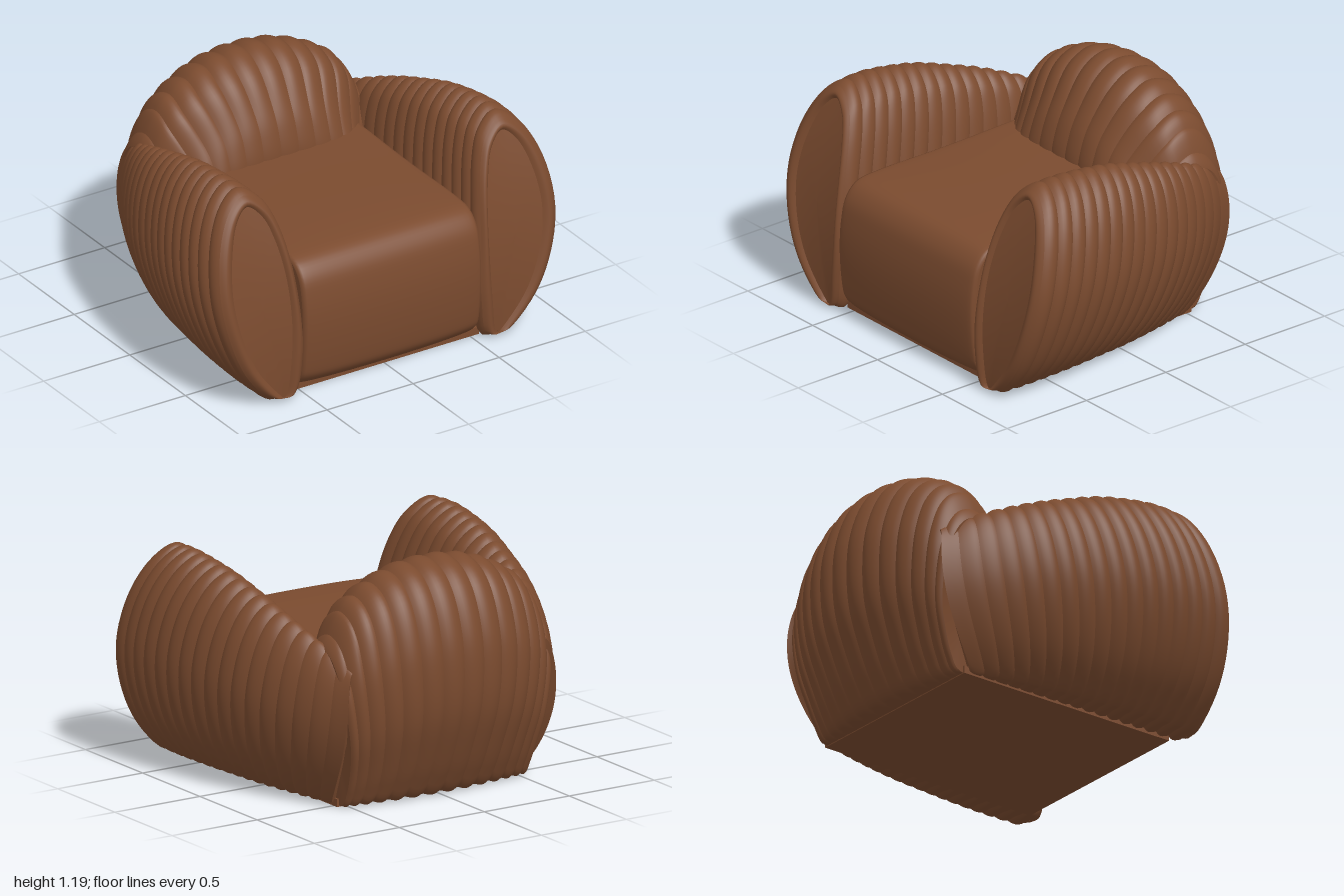
import * as THREE from 'three';

const SIDES = 72;
const lerp = THREE.MathUtils.lerp;
const smooth = THREE.MathUtils.smoothstep;

// Lookup in an evenly spaced table, eased by a spline
function table(values) {
  const c = new THREE.SplineCurve(values.map((v, i) => new THREE.Vector2(i, v)));
  return (u) => c.getPoint(u).y;
}

// Closed smooth outline sampled into SIDES points
function outline(points) {
  const c = new THREE.CatmullRomCurve3(
    points.map(([a, b]) => new THREE.Vector3(a, b, 0)), true, 'centripetal');
  return Array.from({ length: SIDES }, (_, i) => {
    const p = c.getPoint(i / SIDES);
    return [p.x, p.y];
  });
}

// Lofts rings of fn(i, u, s); each rib has its own vertices so the grooves stay crisp
function loft(fn, ribs, steps, { capStart = false, capEnd = false, flip = false } = {}) {
  const pos = [], index = [];
  const face = (a, b, c) => (flip ? index.push(a, c, b) : index.push(a, b, c));
  const ring = (u, s) => {
    const first = pos.length / 3;
    for (let i = 0; i < SIDES; i++) {
      const [x, y, z] = fn(i, u, s);
      pos.push(flip ? -x : x, y, z);
    }
    return first;
  };
  for (let r = 0; r < ribs; r++) {
    let prev = ring(r / ribs, 0);
    for (let j = 1; j <= steps; j++) {
      const next = ring((r + j / steps) / ribs, j / steps);
      for (let i = 0; i < SIDES; i++) {
        const k = (i + 1) % SIDES;
        face(prev + i, next + i, prev + k);
        face(prev + k, next + i, next + k);
      }
      prev = next;
    }
  }
  const cap = (u, s, end) => {
    const first = ring(u, s), mid = [0, 0, 0];
    for (let i = 0; i < SIDES; i++)
      for (let k = 0; k < 3; k++) mid[k] += pos[(first + i) * 3 + k] / SIDES;
    const m = pos.length / 3;
    pos.push(...mid);
    for (let i = 0; i < SIDES; i++) {
      const k = first + ((i + 1) % SIDES);
      if (end) face(m, k, first + i); else face(m, first + i, k);
    }
  };
  if (capStart) cap(0, 0, false);
  if (capEnd) cap(1, 1, true);
  const g = new THREE.BufferGeometry();
  g.setAttribute('position', new THREE.Float32BufferAttribute(pos, 3));
  g.setIndex(index);
  g.computeVertexNormals();
  return g;
}

// Depth of the groove at position s across a rib
const groove = (s) => 0.02 * (1 - Math.pow(Math.max(0, Math.sin(Math.PI * s)), 0.75));

// Pulls a point towards a centre by a distance
function inset(a, b, ca, cb, d) {
  const l = Math.hypot(a - ca, b - cb) || 1;
  return [a - ((a - ca) / l) * d, b - ((b - cb) / l) * d];
}

// Arm: leaf-shaped section swept from front to back
const armOutline = outline([[0.55, 0.01], [0.63, 0.01], [0.70, 0.015], [0.85, 0.17], [0.955, 0.4],
  [0.992, 0.64], [0.945, 0.9], [0.85, 1.06], [0.745, 1.117], [0.64, 1.05], [0.58, 0.93],
  [0.53, 0.7], [0.505, 0.4], [0.51, 0.2]]);
// Panel on the arm front, point for point with the arm outline
const panelOutline = outline([[0.61, 0.02], [0.625, 0.016], [0.64, 0.03], [0.775, 0.2], [0.86, 0.4],
  [0.897, 0.62], [0.87, 0.83], [0.81, 0.98], [0.74, 1.035], [0.665, 0.97], [0.62, 0.85],
  [0.585, 0.65], [0.575, 0.42], [0.585, 0.2]]);
const armHeight = table([1.11, 1.117, 1.1, 1.07, 1.02, 0.965, 0.9, 0.825, 0.73]);
const armOuter = table([0.985, 1.0, 0.99, 0.965, 0.925, 0.88, 0.81, 0.72, 0.62]);

function armZ(y, u) {
  const t = y / armHeight(u);
  return lerp(0.8, -0.48, u) + lerp(0.12 * t - 0.3 * t * t, -0.64 * t + 0.43 * t * t, u);
}

function armPoint(i, u, s) {
  const [x0, y0] = inset(...armOutline[i], 0.735, 0.55, groove(s));
  const x = 0.52 + ((x0 - 0.52) * (armOuter(u) - 0.52)) / 0.47;
  const y = Math.max(0.01, (y0 * armHeight(u)) / 1.117);
  return [x, y, armZ(y, u)];
}

// Rolled rim between panel and first groove
function rimPoint(i, u) {
  const [px, py] = panelOutline[i], b = armPoint(i, 0, 0);
  return [lerp(px, b[0], u), lerp(py, b[1], u),
    lerp(armZ(py, 0), b[2], u) + 0.02 * Math.sin(Math.PI * u)];
}

function panelPoint(i, u) {
  const [px, py] = panelOutline[i];
  const y = lerp(0.52, py, u);
  return [lerp(0.735, px, u), y, armZ(y, 0) - 0.008 * (1 - u * u)];
}

// Backrest: side section swept across, fanning out at the top
const backOutline = outline([[-0.62, 0.005], [-0.4, 0.005], [-0.22, 0.4], [-0.17, 0.7], [-0.2, 0.85],
  [-0.255, 0.97], [-0.35, 1.11], [-0.45, 1.18], [-0.53, 1.195], [-0.65, 1.155], [-0.75, 1.05],
  [-0.83, 0.85], [-0.85, 0.65], [-0.83, 0.45], [-0.76, 0.25], [-0.69, 0.1]]);
const backHeight = table([1, 0.995, 0.98, 0.95, 0.905, 0.835, 0.69]);

function backPoint(i, u, s) {
  const v = Math.sin((2 * u - 1) * 1.3) / Math.sin(1.3), a = Math.abs(v);
  const [zc, yc] = backOutline[i];
  // grooves fade out towards the foot of the front
  const fade = 1 - 0.6 * smooth(zc, -0.35, -0.2);
  const [z0, y0] = inset(zc, yc, -0.5, 0.65, groove(s) * fade);
  const y = Math.max(0.005, y0 * backHeight(a));
  const pull = lerp(0.02, 0.3, smooth(yc, 0.7, 1.05));
  const z = -0.48 + (z0 + 0.48) * (z0 < -0.48 ? 1 - 0.4 * a * a : 1 - pull * a ** 4);
  const fan = 0.86 + 0.14 * smooth(y, 0, 0.8) - 0.15 * smooth(z, -0.42, -0.2);
  return [0.625 * v * fan, y, z];
}

// Seat: one soft block with crowned top and front, undercut at the foot
const seatOutline = outline([[-0.5, 0.02], [0.1, 0.02], [0.7, 0.02], [0.745, 0.02], [0.805, 0.075],
  [0.825, 0.14], [0.845, 0.35], [0.835, 0.52], [0.805, 0.635], [0.74, 0.705], [0.6, 0.728],
  [0, 0.73], [-0.4, 0.725], [-0.5, 0.7], [-0.52, 0.4]]);

function seatPoint(i, u) {
  const v = 2 * u - 1;
  const [z, y] = inset(...seatOutline[i], 0.3, 0.39, 0.025 * v * v + 0.015 * v ** 20);
  return [0.515 * Math.sin((v * Math.PI) / 2), Math.max(0.02, y), z];
}

export function createModel() {
  const leather = new THREE.MeshStandardMaterial({ color: 0x7b4b2f });
  leather.name = 'brown leather';
  const chair = new THREE.Group();
  chair.name = 'armchair';
  const add = (parent, name, geometry) => {
    const m = new THREE.Mesh(geometry, leather);
    m.name = name;
    parent.add(m);
    return m;
  };

  // Arms with ribbed shell, rolled front rim and recessed panel
  for (const [name, flip] of [['leftArm', false], ['rightArm', true]]) {
    const arm = new THREE.Group();
    arm.name = name;
    add(arm, 'armRibs', loft(armPoint, 17, 8, { capEnd: true, flip }));
    add(arm, 'armFrontRim', loft(rimPoint, 1, 8, { flip }));
    add(arm, 'armFrontPanel', loft(panelPoint, 1, 8, { flip }));
    chair.add(arm);
  }

  add(chair, 'backrest', loft(backPoint, 14, 8, { capStart: true, capEnd: true }));
  add(chair, 'seatCushion', loft(seatPoint, 1, 24, { capStart: true, capEnd: true }));

  // Base plate under the seat
  add(chair, 'base', new THREE.BoxGeometry(1.1, 0.04, 1.27)).position.set(0, 0.02, 0.105);
  return chair;
}
